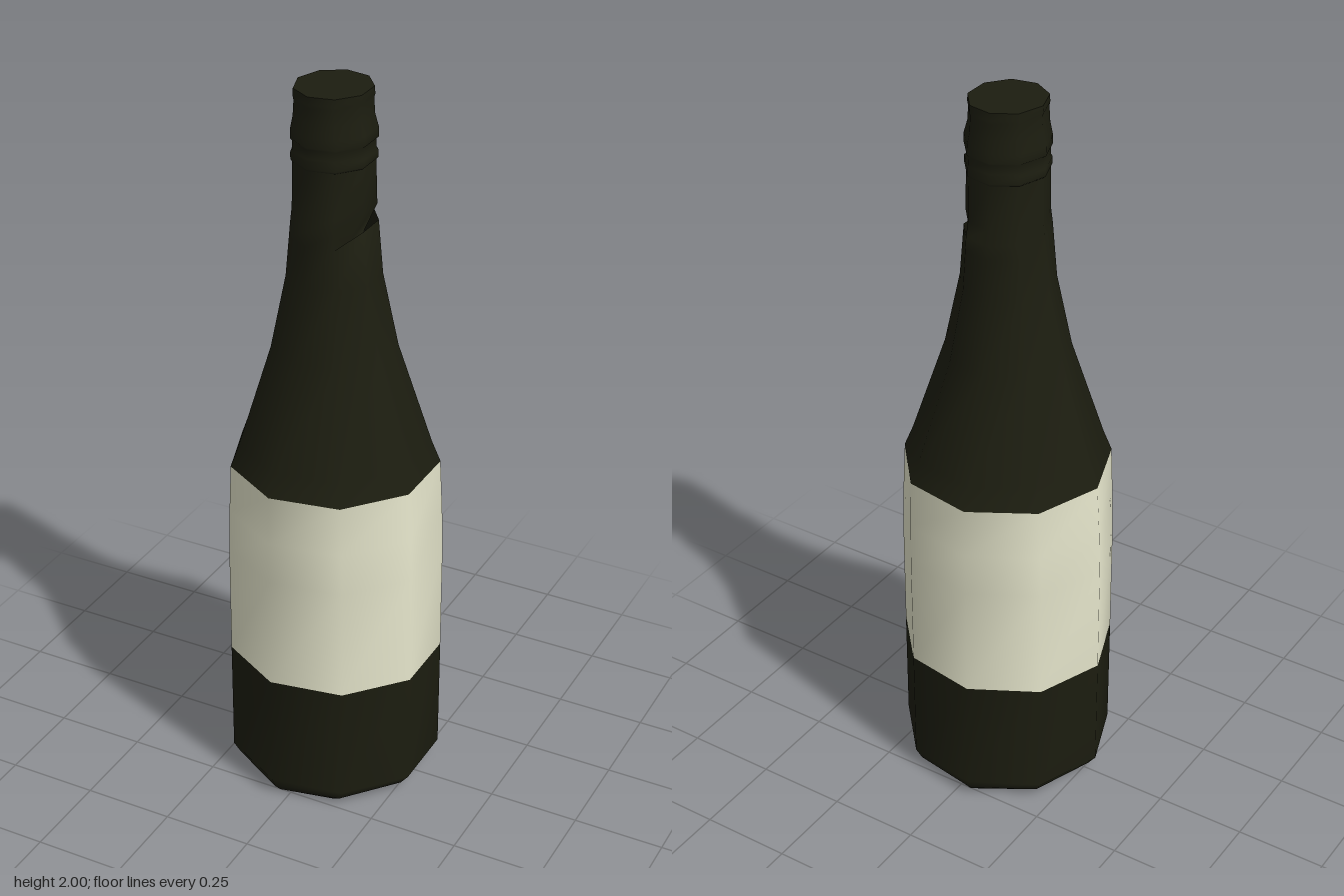
import * as THREE from 'three';

const SIDES = 9;

// Lofts nine-sided rings [y, x radius, z radius, x centre, optional x of the +x facet]
function loft(name, rings, material) {
  const pos = [], index = [];
  for (const [y, rx, rz, cx, dent] of rings) {
    for (let j = 0; j < SIDES; j++) {
      const a = Math.PI + (j * 2 * Math.PI) / SIDES;
      const x = cx + rx * Math.cos(a);
      const onFacet = j === 4 || j === 5; // the two corners facing +x
      // Only the facet corners fold; the other corners keep rising steadily
      pos.push(onFacet && dent ? dent[0] : x, onFacet && dent ? dent[1] : y, rz * Math.sin(a));
    }
  }
  for (let i = 0; i < rings.length - 1; i++) {
    for (let j = 0; j < SIDES; j++) {
      const k = (j + 1) % SIDES;
      const a = i * SIDES + j, b = a + SIDES, c = i * SIDES + k, d = c + SIDES;
      index.push(a, b, c, c, b, d);
    }
  }
  const geo = new THREE.BufferGeometry();
  geo.setAttribute('position', new THREE.Float32BufferAttribute(pos, 3));
  geo.setIndex(index);
  geo.computeVertexNormals();
  const mesh = new THREE.Mesh(geo, material);
  mesh.name = name;
  return mesh;
}

// Flat nine-sided end face
function cap(name, [y, rx, rz, cx], up, material) {
  const geo = new THREE.CircleGeometry(1, SIDES, Math.PI);
  geo.rotateX(up ? -Math.PI / 2 : Math.PI / 2);
  geo.scale(rx, 1, rz);
  geo.translate(cx, y, 0);
  const mesh = new THREE.Mesh(geo, material);
  mesh.name = name;
  return mesh;
}

export function createModel() {
  const group = new THREE.Group();
  group.name = 'bottle';
  const glass = new THREE.MeshStandardMaterial({ color: 0x1c1d10, side: THREE.DoubleSide });
  const paper = new THREE.MeshStandardMaterial({ color: 0xe6e6cc, side: THREE.DoubleSide });

  // Lower body with a rounded foot
  const lower = [
    [0, 0.22, 0.255, 0.006],
    [0.02, 0.272, 0.272, 0.008],
    [0.05, 0.296, 0.284, 0.009],
    [0.38, 0.296, 0.284, 0.009],
  ];
  // Label band, narrowing slightly towards the shoulder
  const label = [
    [0.38, 0.296, 0.284, 0.009],
    [0.7, 0.295, 0.284, 0.009],
    [0.82, 0.29, 0.284, 0.009],
    [0.96, 0.281, 0.284, 0.009],
  ];
  // Shoulder and neck, with a folded nick on the +x facet
  const upper = [
    [0.96, 0.281, 0.284, 0.009],
    [1.02, 0.258, 0.259, 0.008],
    [1.3, 0.168, 0.165, 0.006],
    [1.5, 0.125, 0.128, 0.006],
    [1.61, 0.112, 0.126, 0.006, [0.11, 1.645]],
    [1.65, 0.108, 0.124, 0.006, [0.066, 1.6]],
    [1.69, 0.105, 0.116, 0.006, [0.107, 1.69]],
    [1.81, 0.104, 0.112, 0.006],
  ];
  // Mouth with two raised rings below the lip
  const mouth = [
    [1.81, 0.104, 0.112, 0.006],
    [1.815, 0.11, 0.113, 0.006],
    [1.835, 0.11, 0.113, 0.006],
    [1.84, 0.104, 0.111, 0.006],
    [1.865, 0.104, 0.111, 0.006],
    [1.87, 0.111, 0.113, 0.006],
    [1.895, 0.111, 0.111, 0.006],
    [1.93, 0.101, 0.108, 0.005],
    [1.97, 0.098, 0.107, 0.005],
    [1.98, 0.101, 0.107, 0.005],
    [2, 0.1, 0.107, 0.005],
  ];

  group.add(
    loft('lowerBody', lower, glass),
    loft('label', label, paper),
    loft('shoulderAndNeck', upper, glass),
    loft('mouth', mouth, glass),
    cap('base', lower[0], false, glass),
    cap('top', mouth[mouth.length - 1], true, glass),
  );
  return group;
}
